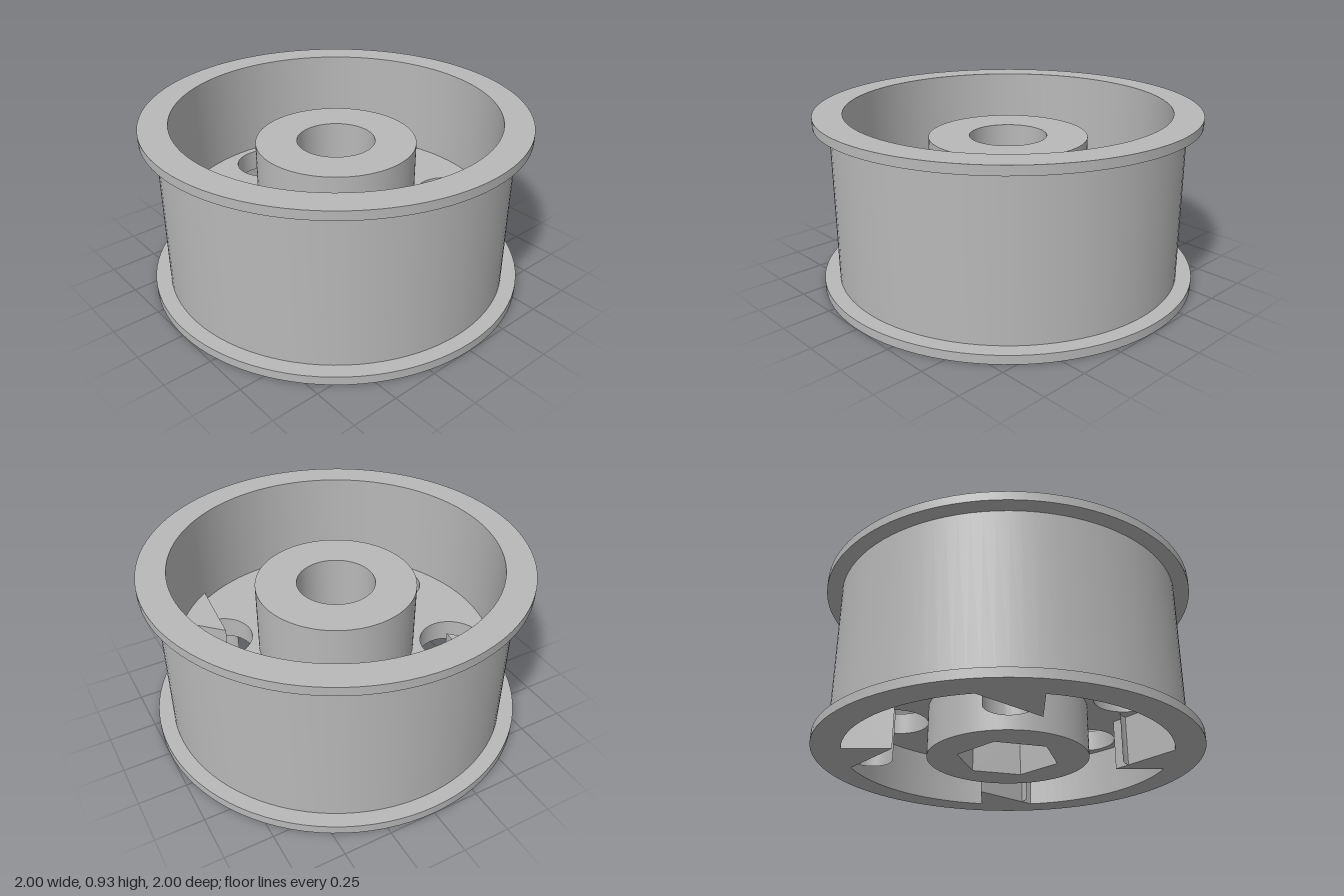
import * as THREE from 'three';
import { toCreasedNormals } from 'three/addons/utils/BufferGeometryUtils.js';

const TAU = Math.PI * 2;

export function createModel() {
  const group = new THREE.Group();
  const grey = new THREE.MeshStandardMaterial({ color: 0xb8b8b8 });
  grey.name = 'grey';

  const add = (name, geometry) => {
    const mesh = new THREE.Mesh(toCreasedNormals(geometry, Math.PI / 6), grey);
    mesh.name = name;
    group.add(mesh);
    return mesh;
  };
  const lathe = (pts) => new THREE.LatheGeometry(pts.map(([r, y]) => new THREE.Vector2(r, y)), 96);
  const circle = (r, x = 0, y = 0, Type = THREE.Path) => new Type().absarc(x, y, r, 0, TAU, false);
  // Upright prism from y0 to y1
  const prism = (shape, y0, y1) => new THREE.ExtrudeGeometry(shape, { depth: y1 - y0, bevelEnabled: false, curveSegments: 48 })
    .rotateX(-Math.PI / 2).translate(0, y0, 0);
  // Flat face looking down
  const faceDown = (shape, y) => new THREE.ShapeGeometry(shape, 64).rotateX(Math.PI / 2).translate(0, y, 0);

  // Rim drum with a flange at each end
  const H = 0.925, F = 0.047, IN = 0.85, DRUM = 0.92;
  add('rim', lathe([
    [IN, 0], [1, 0], [1, F], [DRUM, F], [DRUM, H - F], [1, H - F], [1, H], [IN, H], [IN, 0],
  ]));

  // Web disc with six round openings
  const web = circle(IN + 0.01, 0, 0, THREE.Shape);
  web.holes.push(circle(0.41));
  for (let i = 0; i < 6; i++) {
    const a = i * TAU / 6;
    web.holes.push(circle(0.175, 0.635 * Math.cos(a), 0.635 * Math.sin(a)));
  }
  add('web', prism(web, 0.27, 0.39));

  // Hub: outside, top, bore and through hole
  const HUB = 0.42, BORE = 0.205, PIN = 0.085, HEX = 0.268, HEX_DEPTH = 0.25, FLOOR = 0.35;
  add('hub', lathe([
    [HUB, 0], [HUB, 0.77], [BORE, 0.77], [BORE, FLOOR], [PIN, FLOOR], [PIN, HEX_DEPTH],
  ]));

  // Hexagonal pocket in the underside of the hub
  const hexPoints = Array.from({ length: 6 }, (_, i) => {
    const a = (i + 0.5) * TAU / 6;
    return new THREE.Vector2(HEX * Math.cos(a), HEX * Math.sin(a));
  });
  const hubBottom = circle(HUB, 0, 0, THREE.Shape);
  hubBottom.holes.push(new THREE.Path(hexPoints));
  add('hubUnderside', faceDown(hubBottom, 0));
  const pocketTop = new THREE.Shape(hexPoints);
  pocketTop.holes.push(circle(PIN));
  add('hexPocketCeiling', faceDown(pocketTop, HEX_DEPTH));
  // Mirrored so the walls face inward
  add('hexPocketWalls', new THREE.CylinderGeometry(HEX, HEX, HEX_DEPTH, 6, 1, true)
    .translate(0, HEX_DEPTH / 2, 0).scale(-1, 1, 1));

  // Four screw blocks on the diagonals, each with a blind hole below
  const W = 0.155, R = IN + 0.01, TOP = 0.44, BLIND = 0.3;
  const outline = () => {
    const s = new THREE.Shape();
    const a = Math.asin(W / R);
    s.moveTo(0.58, -W);
    s.absarc(0, 0, R, -a, a, false);
    s.lineTo(0.58, W);
    s.closePath();
    return s;
  };
  const drilled = outline();
  drilled.holes.push(circle(0.118, 0.715, 0));
  for (let i = 0; i < 4; i++) {
    const turn = (i + 0.5) * Math.PI / 2;
    add('screwBlock', prism(drilled, 0, BLIND)).rotation.y = turn;
    add('screwBlockTop', prism(outline(), BLIND, TOP)).rotation.y = turn;
  }
  return group;
}
